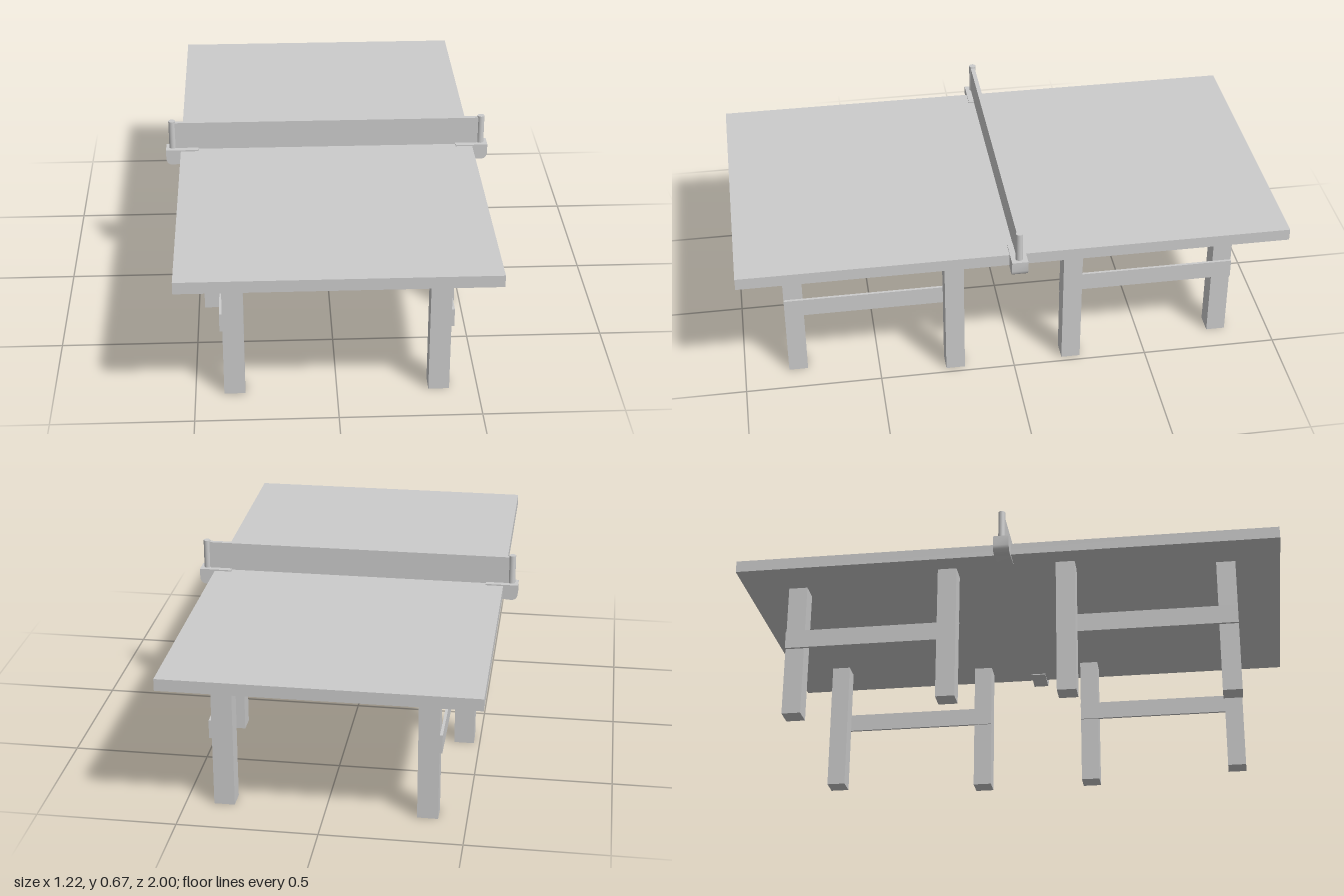
import * as THREE from 'three';
import { toCreasedNormals } from 'three/addons/utils/BufferGeometryUtils.js';

const material = new THREE.MeshStandardMaterial({ color: 0xcccccc });

export function createModel() {
  const model = new THREE.Group();
  model.name = 'tableTennisTable';

  const add = (name, geometry, x, y, z) => {
    const mesh = new THREE.Mesh(geometry, material);
    mesh.name = name;
    mesh.position.set(x, y, z);
    model.add(mesh);
    return mesh;
  };
  // Box given by its lower and upper limits on each axis
  const box = (name, [x0, x1], [y0, y1], [z0, z1]) =>
    add(name, new THREE.BoxGeometry(x1 - x0, y1 - y0, z1 - z0),
      (x0 + x1) / 2, (y0 + y1) / 2, (z0 + z1) / 2);
  // Range mirrored to the given side
  const side = (s, a, b) => (s > 0 ? [a, b] : [-b, -a]);

  // Playing surface
  box('tableTop', [-0.556, 0.554], [0.513, 0.557], [-1, 1]);

  // Legs in pairs, each pair joined by a rail outside the end leg and inside the net leg
  for (const sx of [-1, 1]) {
    for (const sz of [-1, 1]) {
      box('endLeg', side(sx, 0.325, 0.399), [0, 0.514], side(sz, 0.767, 0.837));
      box('netLeg', side(sx, 0.404, 0.478), [0, 0.514], side(sz, 0.184, 0.254));
      box('legRail', side(sx, 0.399, 0.409), [0.26, 0.329], side(sz, 0.184, 0.837));
    }
  }

  // Net
  box('net', [-0.576, 0.576], [0.557, 0.666], [-0.008, 0.008]);

  // Clamp profile, gripping the table edge and rounded below on the outside
  const depth = 0.058;
  for (const s of [-1, 1]) {
    const profile = new THREE.Shape();
    profile.moveTo(s * 0.49, 0.562);
    profile.lineTo(s * 0.49, 0.509);
    profile.lineTo(s * 0.565, 0.504);
    profile.lineTo(s * 0.588, 0.502);
    profile.quadraticCurveTo(s * 0.609, 0.503, s * 0.612, 0.525);
    profile.lineTo(s * 0.612, 0.562);
    const clamp = new THREE.ExtrudeGeometry(profile, { depth, bevelEnabled: false, curveSegments: 6 });
    add('netClamp', toCreasedNormals(clamp, 0.6), 0, 0, -depth / 2);

    // Net post standing on the clamp
    add('netPost', new THREE.CylinderGeometry(0.013, 0.013, 0.112, 20), s * 0.587, 0.616, 0);
  }

  return model;
}
